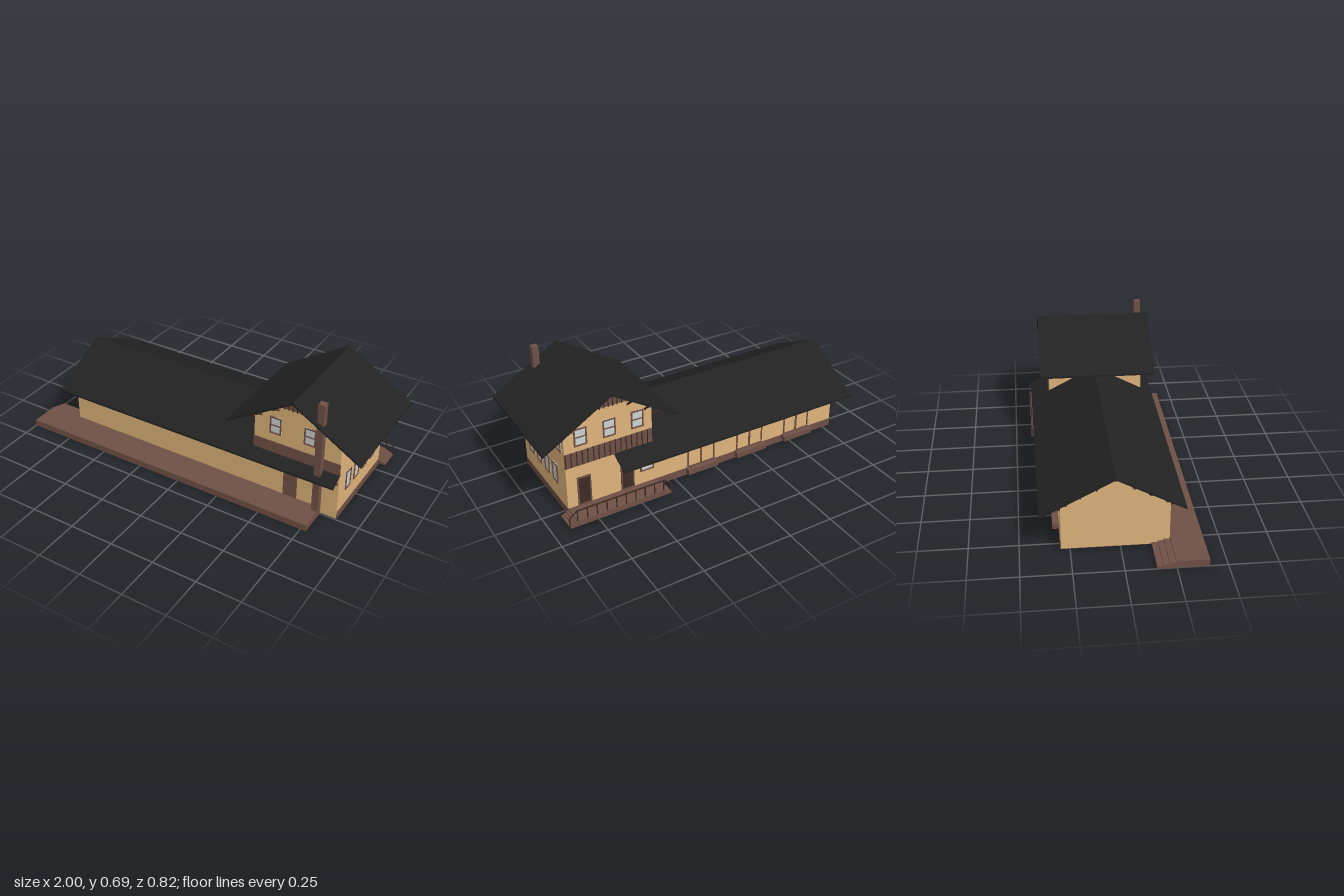
import * as THREE from 'three';

const mat = (color) => new THREE.MeshStandardMaterial({ color, flatShading: true });

export function createModel() {
  const root = new THREE.Group();
  const wall = mat(0xdeb37a), brown = mat(0x6f5045), dark = mat(0x3d2c26);
  const black = mat(0x222222), glass = mat(0xcbd2cf);

  const add = (name, geo, material, parent = root) => {
    const m = new THREE.Mesh(geo, material);
    m.name = name;
    parent.add(m);
    return m;
  };
  // Box given by its extents
  const box = (name, material, x0, x1, y0, y1, z0, z1, parent = root) => {
    const m = add(name, new THREE.BoxGeometry(x1 - x0, y1 - y0, z1 - z0), material, parent);
    m.position.set((x0 + x1) / 2, (y0 + y1) / 2, (z0 + z1) / 2);
    return m;
  };
  // Square timber between two points
  const beam = (name, a, b, t = 0.008, material = dark, parent = root) => {
    const p = new THREE.Vector3(...a), q = new THREE.Vector3(...b);
    const m = add(name, new THREE.BoxGeometry(t, t, p.distanceTo(q)), material, parent);
    m.position.copy(p).add(q).multiplyScalar(0.5);
    m.lookAt(q);
    return m;
  };
  const extrude = (pts, depth) => new THREE.ExtrudeGeometry(
    new THREE.Shape(pts.map(([x, y]) => new THREE.Vector2(x, y))), { depth, bevelEnabled: false });
  // Profile in (x, y) swept along z, and profile in (z, y) swept along x
  const sweepZ = (name, material, pts, z0, z1) =>
    add(name, extrude(pts, z1 - z0).translate(0, 0, z0), material);
  const sweepX = (name, material, pts, x0, x1) =>
    add(name, extrude(pts.map(([z, y]) => [-z, y]), x1 - x0).rotateY(Math.PI / 2).translate(x0, 0, 0), material);

  // Roof lines
  const hallY = (z) => 0.43 - (z > -0.03 ? (z + 0.03) * 0.53 : (-0.03 - z) * 0.525);
  const towerY = (x) => 0.665 - Math.abs(x - 0.622) * 0.61;
  const T = 0.011;
  const strip = (line, us) => [...us.map((u) => [u, line(u)]), ...us.slice().reverse().map((u) => [u, line(u) - T])];

  // Long hall and two-storey tower walls
  const Z0 = -0.295, Z1 = 0.245;
  sweepX('hallWalls', wall, [[Z1, 0.003], [Z1, hallY(Z1) - 0.006], [-0.03, 0.424], [Z0, hallY(Z0) - 0.006], [Z0, 0.003]], -0.8, 0.4);
  sweepZ('towerWalls', wall, [[0.38, 0.003], [0.87, 0.003], [0.87, towerY(0.87) - 0.006], [0.622, 0.659], [0.38, towerY(0.38) - 0.006]], Z0, Z1);
  box('foundation', brown, -0.799, 0.872, 0, 0.042, -0.299, 0.243);

  // Roofs
  sweepX('hallRoof', black, strip(hallY, [-0.4, -0.03, 0.315]), -0.86, 0.385);
  sweepX('frontEave', black, strip(hallY, [0.235, 0.315]), 0.38, 0.87);
  sweepX('backEave', black, strip(hallY, [-0.4, -0.285]), 0.38, 0.6);
  sweepZ('towerRoof', black, strip(towerY, [0.25, 0.622, 1.0]), -0.345, 0.312);

  // Tower trim on both gables: belt, peak boarding, battens and rake brackets
  for (const [zw, s] of [[Z1, 1], [Z0, -1]]) {
    const a = Math.min(zw, zw + s * 0.005), b = Math.max(zw, zw + s * 0.005);
    const c = zw + s * 0.007;
    box('belt', brown, 0.378, 0.872, 0.285, s > 0 ? 0.35 : 0.368, a, b);
    const half = (0.654 - 0.575) / 0.61;
    sweepZ('peakBoarding', brown, [[0.622 - half, 0.575], [0.622 + half, 0.575], [0.622, 0.654]], a, b);
    for (let i = -4; i <= 4; i++) {
      const x = 0.622 + i * 0.024;
      box('peakBatten', dark, x - 0.002, x + 0.002, 0.572, towerY(x) - 0.012, c - 0.002, c + 0.002);
    }
    if (s < 0) {
      for (let i = 0; i <= 16; i++) {
        const x = 0.38 + i * 0.0305;
        box('beltBatten', dark, x - 0.002, x + 0.002, 0.288, 0.372, c - 0.002, c + 0.002);
      }
    }
    for (const x of [0.42, 0.515, 0.622, 0.695, 0.84]) {
      const y = towerY(x) - 0.016, reach = s > 0 ? 0.06 : 0.045;
      beam('rakePurlin', [x, y, zw], [x, y, zw + s * reach]);
      beam('rakeBracket', [x, y - 0.035, zw], [x, y, zw + s * reach * 0.8]);
    }
  }
  // Brackets under the tower side eaves
  for (const z of [-0.28, -0.18, -0.08, 0.02, 0.12, 0.22]) {
    for (const [xw, s] of [[0.87, 1], [0.38, -1]]) {
      beam('towerBracket', [xw, 0.44, z], [xw + s * 0.065, 0.458, z]);
    }
  }
  // Brackets and rafters under the hall eaves
  for (const x of [-0.79, -0.59, -0.4, -0.21, -0.02, 0.17, 0.35, 0.52, 0.68, 0.86]) {
    beam('frontRafter', [x, hallY(Z1) - 0.016, Z1], [x, hallY(0.31) - 0.016, 0.31]);
    beam('frontBracket', [x, 0.225, Z1], [x, 0.255, 0.295]);
    if (x < 0.6) {
      beam('backRafter', [x, hallY(Z0) - 0.016, Z0], [x, hallY(-0.39) - 0.016, -0.39]);
      beam('backBracket', [x, 0.225, Z0], [x, 0.252, -0.355]);
    }
  }
  // Purlins carrying the gable overhang of the hall
  for (const z of [-0.27, -0.2, -0.12, -0.03, 0.06, 0.14, 0.22]) {
    const y = hallY(z) - 0.016;
    beam('gablePurlin', [-0.8, y, z], [-0.855, y, z]);
    beam('gableBracket', [-0.8, y - 0.03, z], [-0.84, y, z]);
  }

  // Openings built facing +z around their centre, then turned onto a wall
  const framed = (name, w, h, fill, bars) => {
    const g = new THREE.Group();
    g.name = name;
    const f = 0.007;
    box('panel', fill, -w / 2, w / 2, -h / 2, h / 2, -0.002, 0.002, g);
    for (const s of [-1, 1]) {
      box('jamb', brown, s * (w / 2 - f / 2) - f / 2, s * (w / 2 - f / 2) + f / 2, -h / 2, h / 2, -0.002, 0.006, g);
      box('rail', brown, -w / 2, w / 2, s * (h / 2 - f / 2) - f / 2, s * (h / 2 - f / 2) + f / 2, -0.002, 0.006, g);
    }
    for (const [x0, x1, y0, y1] of bars) box('bar', brown, x0, x1, y0, y1, -0.002, 0.005, g);
    root.add(g);
    return g;
  };
  const onWall = (g, side, u, y) => {
    if (side === 'front') g.position.set(u, y, Z1 + 0.001);
    if (side === 'back') { g.position.set(u, y, Z0 - 0.001); g.rotation.y = Math.PI; }
    if (side === 'left') { g.position.set(0.871, y, u); g.rotation.y = Math.PI / 2; }
  };
  const sash = (w) => [[-w / 2, w / 2, -0.003, 0.003]];

  for (const x of [0.503, 0.697]) onWall(framed('frontWindow', 0.065, 0.1, glass, sash(0.065)), 'front', x, 0.453);
  for (const x of [0.465, 0.622, 0.78]) onWall(framed('backWindow', 0.07, 0.1, glass, sash(0.07)), 'back', x, 0.45);
  for (const z of [0.137, 0.035, -0.067, -0.168]) onWall(framed('lowerSideWindow', 0.059, 0.112, glass, []), 'left', z, 0.196);
  for (const z of [-0.03, -0.132, -0.236]) onWall(framed('upperSideWindow', 0.061, 0.1, glass, []), 'left', z, 0.417);
  onWall(framed('frontDoor', 0.078, 0.155, brown, []), 'front', 0.6, 0.109);
  for (const x of [0.775, 0.53]) onWall(framed('backDoor', 0.075, 0.17, dark, []), 'back', x, 0.127);
  onWall(framed('officeWindow', 0.08, 0.1, glass, sash(0.08)), 'back', 0.415, 0.17);

  // Freight doors with sills
  for (const x of [0.085, -0.23, -0.55]) {
    onWall(framed('freightDoor', 0.17, 0.19, wall,
      [[-0.006, 0.006, -0.095, 0.095], [-0.085, 0.085, 0.025, 0.035]]), 'back', x, 0.14);
    box('freightSill', brown, x - 0.095, x + 0.095, 0.015, 0.045, -0.33, Z0);
  }

  // Chimney
  box('chimney', brown, 0.745, 0.781, 0, 0.69, 0.25, 0.286);

  // Front platform with steps at its far end
  box('platform', brown, -1, 0.78, 0, 0.038, 0.246, 0.41);
  for (let i = 0; i < 3; i++) {
    box('platformStep', brown, -1, -0.801, 0, 0.03 - i * 0.009, 0.215 - i * 0.03, 0.247 - i * 0.03);
  }

  // Back porch deck, end steps and railing
  box('deck', brown, 0.375, 0.87, 0.01, 0.04, -0.41, -0.294);
  for (const [xe, s] of [[0.87, 1], [0.375, -1]]) {
    for (let i = 0; i < 3; i++) {
      const a = xe + s * i * 0.014, b = a + s * 0.014;
      box('deckStep', brown, Math.min(a, b), Math.max(a, b), 0.01, 0.033 - i * 0.007, -0.41, -0.296);
    }
    beam('slopedHandrail', [xe, 0.102, -0.405], [xe + s * 0.042, 0.07, -0.405], 0.005);
    beam('handrailPost', [xe + s * 0.042, 0.071, -0.405], [xe + s * 0.042, 0.012, -0.405], 0.005);
  }
  beam('topRail', [0.373, 0.102, -0.405], [0.872, 0.102, -0.405], 0.006);
  for (let i = 0; i <= 9; i++) {
    const x = 0.377 + i * 0.0546;
    box('railPost', dark, x - 0.0025, x + 0.0025, 0.035, 0.102, -0.4075, -0.4025);
  }
  return root;
}
